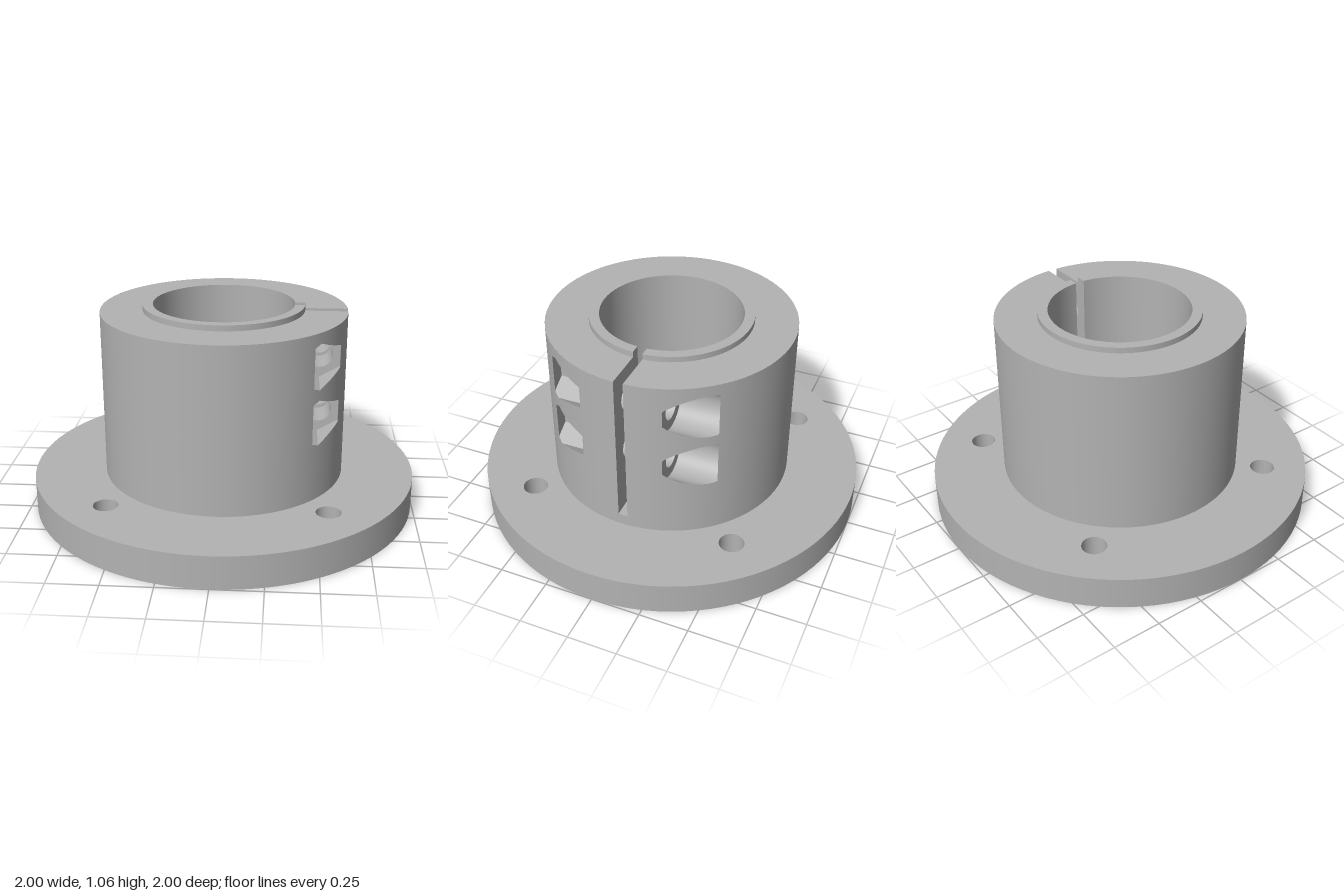
import * as THREE from 'three';

const R = 0.628, RING = 0.412, BORE = 0.36;              // hub, rim and bore radii
const FLANGE = 0.171, TOP = 1.032, RIM = 1.061;          // heights
const FLOOR = 0.315, SLOT_Y = 0.232, S = 0.024;          // bore floor, slot bottom, half slot width
const CX = 0.486, ROWS = [0.575, 0.861];                 // clamp screw axes
const POCKET = 0.117, SCREW = 0.0655, Z0 = 0.2, Z1 = 0.43;
const TAU = Math.PI * 2;

const steel = new THREE.MeshStandardMaterial({ color: 0xb3b3b3, side: THREE.DoubleSide });
steel.name = 'grey metal';

function add(parent, name, geometry) {
  const mesh = new THREE.Mesh(geometry, steel);
  mesh.name = name;
  parent.add(mesh);
  return mesh;
}

// Strip of quads between pairs of points; radial sets normals out from (1) or in to (-1) the y axis
function strip(pairs, radial = 0) {
  const index = [];
  for (let i = 0; i < pairs.length - 1; i++) {
    const a = 2 * i;
    index.push(a, a + 1, a + 3, a, a + 3, a + 2);
  }
  const pos = pairs.flat(2);
  const g = new THREE.BufferGeometry();
  g.setAttribute('position', new THREE.Float32BufferAttribute(pos, 3));
  g.setIndex(index);
  g.computeVertexNormals();
  if (radial) {
    for (let i = 0; i < pos.length / 3; i++) {
      const x = pos[3 * i], z = pos[3 * i + 2], r = Math.hypot(x, z) * radial;
      g.attributes.normal.setXYZ(i, x / r, 0, z / r);
    }
  }
  return g;
}

// Part of an upright cylinder wall; the heights are functions of the angle from +x towards +z
function wall(r, low, high, a0, a1, n, dir = 1) {
  const pairs = [];
  for (let i = 0; i <= n; i++) {
    const a = a0 + (a1 - a0) * i / n, x = r * Math.cos(a), z = r * Math.sin(a);
    pairs.push([[x, low(a), z], [x, high(a), z]]);
  }
  return strip(dir > 0 ? pairs : pairs.reverse(), dir);
}
const at = y => () => y;
const slotAngle = r => Math.asin(S / r);
const slitWall = (r, y0, y1, dir) =>
  wall(r, at(y0), at(y1), slotAngle(r), TAU - slotAngle(r), 96, dir);

function flip(g) {
  const ix = g.index.array;
  for (let i = 0; i < ix.length; i += 3) [ix[i], ix[i + 1]] = [ix[i + 1], ix[i]];
  const n = g.attributes.normal;
  for (let i = 0; i < n.count; i++) n.setXYZ(i, -n.getX(i), -n.getY(i), -n.getZ(i));
  return g;
}

const flat = (shape, y, up = true) =>
  new THREE.ShapeGeometry(shape, 48).rotateX(up ? -Math.PI / 2 : Math.PI / 2).translate(0, y, 0);

function circle(x, y, r) {
  return new THREE.Path().absarc(x, y, r, 0, TAU, false);
}

// Flat ring cut open by the slot
function slitRing(outer, inner) {
  const a = slotAngle(outer), b = slotAngle(inner);
  return new THREE.Shape()
    .absarc(0, 0, outer, a, TAU - a, false)
    .absarc(0, 0, inner, TAU - b, b, true);
}

// Closed outline around the screw axis, finely divided along every side
function outline(sides, radius, perSide, turn) {
  const pts = [];
  for (let k = 0; k < sides; k++) {
    const a = turn + k * TAU / sides, b = a + TAU / sides;
    for (let j = 0; j < perSide; j++) {
      const t = j / perSide;
      pts.push([CX + radius * (Math.cos(a) * (1 - t) + Math.cos(b) * t),
        radius * (Math.sin(a) * (1 - t) + Math.sin(b) * t)]);
    }
  }
  return pts;
}

// Outline cut off where it leaves the hub at depth z
function clipped(pts, z) {
  const max = Math.sqrt(R * R - z * z), out = [];
  pts.forEach((p, i) => {
    const q = pts[(i + 1) % pts.length];
    if (p[0] <= max) out.push(new THREE.Vector2(...p));
    if ((p[0] <= max) !== (q[0] <= max)) {
      const t = (max - p[0]) / (q[0] - p[0]);
      out.push(new THREE.Vector2(max, p[1] + t * (q[1] - p[1])));
    }
  });
  return new THREE.Shape(out);
}

// Screw pocket opening through the hub side, with its screw hole running to the slot
function pocket(name, pts, faceted) {
  const g = new THREE.Group();
  g.name = name;
  const sides = strip([...pts, pts[0]].map(([x, y]) => {
    const end = Math.min(Z1, Math.sqrt(Math.max(0, R * R - x * x)));
    return [[x, y, Z0], [x, y, Math.max(Z0, end)]];
  }));
  const faces = faceted ? sides.toNonIndexed() : sides;
  faces.computeVertexNormals();
  add(g, 'pocketSides', faces);
  const seat = clipped(pts, Z0);
  seat.holes.push(circle(CX, 0, SCREW));
  add(g, 'pocketSeat', new THREE.ShapeGeometry(seat, 24).translate(0, 0, Z0));
  add(g, 'pocketEnd', flip(new THREE.ShapeGeometry(clipped(pts, Z1)).translate(0, 0, Z1)));
  const hole = outline(48, SCREW, 1, 0);
  add(g, 'screwHole', strip([...hole, hole[0]].map(([x, y]) => [[x, y, S], [x, y, Z0]])));
  return g;
}

export function createModel() {
  const model = new THREE.Group();
  model.name = 'flangedClampHub';

  // Flange with four bolt holes
  const flange = new THREE.Group();
  flange.name = 'flange';
  const disc = new THREE.Shape().absarc(0, 0, 1, 0, TAU, false);
  for (const x of [-0.545, 0.545]) for (const z of [-0.545, 0.545]) {
    disc.holes.push(circle(x, z, 0.063));
    add(flange, 'boltHole', wall(0.063, at(0), at(FLANGE), 0, TAU, 32, -1)).position.set(x, 0, z);
  }
  add(flange, 'flangeTop', flat(disc, FLANGE));
  add(flange, 'flangeBottom', flat(disc, 0, false));
  add(flange, 'flangeEdge', wall(1, at(0), at(FLANGE), 0, TAU, 96));
  model.add(flange);

  // Hub wall in sectors, two of which are pierced by pocket openings
  const hub = new THREE.Group();
  hub.name = 'hub';
  const hexHalf = a => POCKET - Math.abs(R * Math.cos(a) - CX) / Math.sqrt(3);
  const roundHalf = a => Math.sqrt(Math.max(0, POCKET ** 2 - (R * Math.cos(a) - CX) ** 2));
  const a = slotAngle(R), far = Math.asin(Z1 / R), near = Math.asin(Z0 / R);
  const hexNear = Math.acos((CX + POCKET * Math.sqrt(3) / 2) / R), apex = Math.acos(CX / R);
  const sectors = [
    [a, hexNear, 8], [hexNear, apex, 16, hexHalf], [apex, far, 4, hexHalf],
    [far, TAU - far, 72], [TAU - far, TAU - near, 32, roundHalf], [TAU - near, TAU - a, 8],
  ];
  for (const [from, to, n, half] of sectors) {
    if (!half) {
      add(hub, 'hubWall', wall(R, at(FLANGE), at(TOP), from, to, n));
      continue;
    }
    const [lo, hi] = ROWS;
    add(hub, 'hubWall', wall(R, at(FLANGE), t => lo - half(t), from, to, n));
    add(hub, 'hubWall', wall(R, t => lo + half(t), t => hi - half(t), from, to, n));
    add(hub, 'hubWall', wall(R, t => hi + half(t), at(TOP), from, to, n));
  }
  add(hub, 'wallBelowSlot', wall(R, at(FLANGE), at(SLOT_Y), -a, a, 2));
  add(hub, 'hubTop', flat(slitRing(R, RING), TOP));
  add(hub, 'rimWall', slitWall(RING, TOP, RIM, 1));
  add(hub, 'rimTop', flat(slitRing(RING, BORE), RIM));
  add(hub, 'boreWall', slitWall(BORE, FLOOR, RIM, -1));
  const b = slotAngle(BORE);
  const floor = new THREE.Shape().absarc(0, 0, BORE, b, TAU - b, false).lineTo(0, -S).lineTo(0, S);
  add(hub, 'boreFloor', flat(floor, FLOOR));
  model.add(hub);

  // Clamping slot
  const slot = new THREE.Group();
  slot.name = 'slot';
  const edge = r => Math.sqrt(r * r - S * S);
  const side = new THREE.Shape([
    [0, SLOT_Y], [edge(R), SLOT_Y], [edge(R), TOP], [edge(RING), TOP],
    [edge(RING), RIM], [edge(BORE), RIM], [edge(BORE), FLOOR], [0, FLOOR],
  ].map(p => new THREE.Vector2(...p)));
  for (const y of ROWS) side.holes.push(circle(CX, y, SCREW));
  add(slot, 'slotSide', new THREE.ShapeGeometry(side, 24).translate(0, 0, -S));
  add(slot, 'slotSide', flip(new THREE.ShapeGeometry(side, 24).translate(0, 0, S)));
  add(slot, 'slotFloor', new THREE.PlaneGeometry(R, 2 * S).rotateX(-Math.PI / 2).translate(R / 2, SLOT_Y, 0));
  add(slot, 'slotEnd', new THREE.PlaneGeometry(2 * S, FLOOR - SLOT_Y).rotateY(Math.PI / 2)
    .translate(0, (FLOOR + SLOT_Y) / 2, 0));
  model.add(slot);

  // Hexagonal nut pockets in front, round screw head pockets behind
  for (const y of ROWS) {
    const nut = pocket('nutPocket', outline(6, POCKET, 16, -Math.PI / 6), true);
    nut.position.y = y;
    const head = pocket('screwHeadPocket', outline(96, POCKET, 1, 0), false);
    head.position.y = y;
    head.rotation.x = Math.PI;
    model.add(nut, head);
  }
  return model;
}
